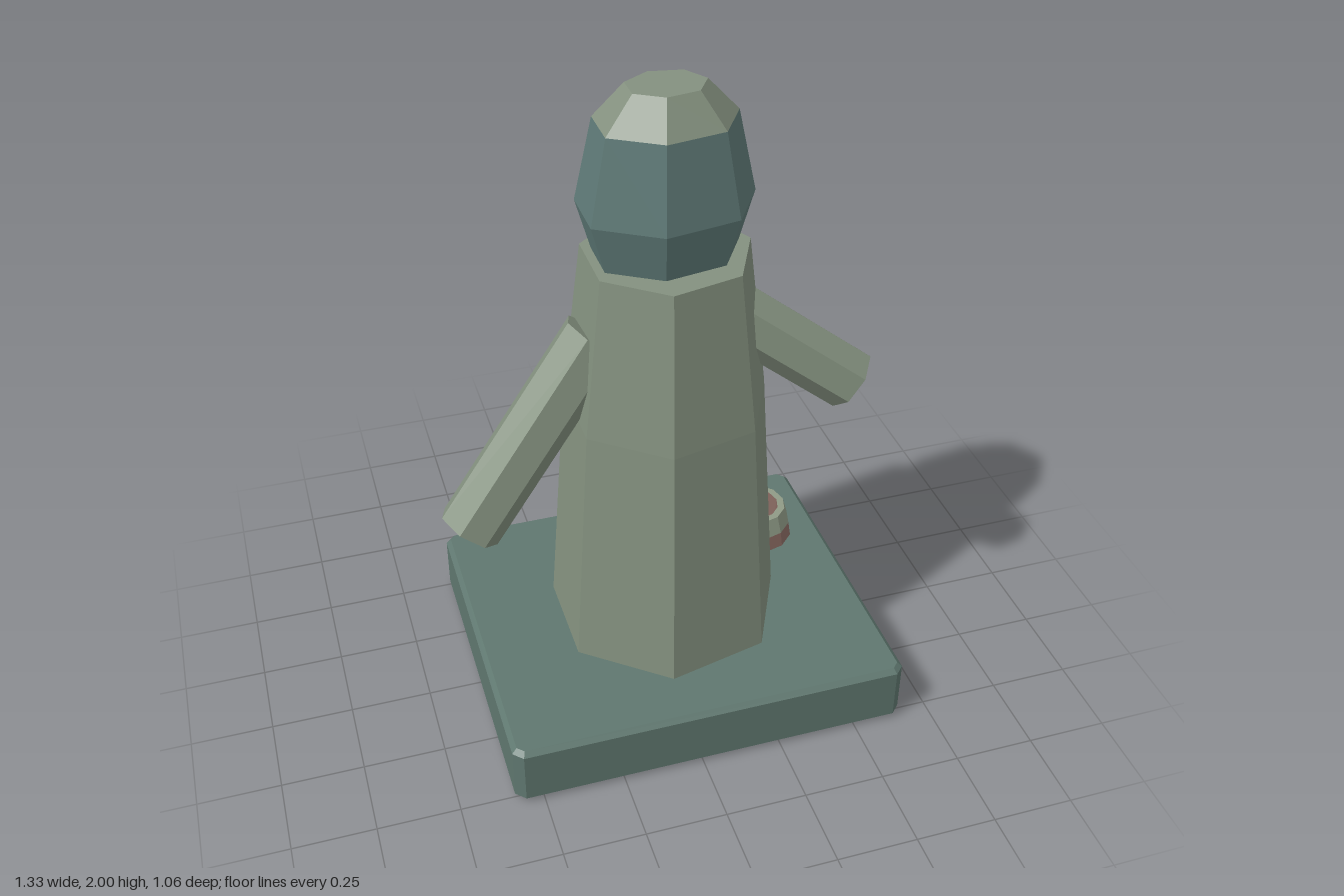
import * as THREE from 'three';

const material = (color) =>
  new THREE.MeshStandardMaterial({ color, flatShading: true, side: THREE.DoubleSide });
const stone = material(0x84917f);
const slate = material(0x5f776f);
const hoodTeal = material(0x5f7a77);
const clay = material(0x8a6a62);
const sand = material(0x8f9a86);

// Faceted turned part from [radius, height] pairs, with one corner towards +x
function turned(name, profile, sides, mat) {
  const points = profile.map(([r, y]) => new THREE.Vector2(r, y));
  const mesh = new THREE.Mesh(new THREE.LatheGeometry(points, sides, Math.PI / 2), mat);
  mesh.name = name;
  return mesh;
}

// Straight seven-sided limb between two points
function limb(name, from, to, radius) {
  const a = new THREE.Vector3(...from);
  const b = new THREE.Vector3(...to);
  const dir = b.clone().sub(a);
  const mesh = new THREE.Mesh(
    new THREE.CylinderGeometry(radius, radius, dir.length(), 7), stone);
  mesh.quaternion.setFromUnitVectors(new THREE.Vector3(0, 1, 0), dir.normalize());
  mesh.position.copy(a).add(b).multiplyScalar(0.5);
  mesh.name = name;
  return mesh;
}

// Slab with clipped corners and bevelled edges
function makeBase() {
  const bevel = 0.015, w = 0.622 - bevel, d = 0.53 - bevel, c = 0.02, height = 0.2;
  const shape = new THREE.Shape([
    [w - c, -d], [w, c - d], [w, d - c], [w - c, d],
    [c - w, d], [-w, d - c], [-w, c - d], [c - w, -d],
  ].map(([x, y]) => new THREE.Vector2(x, y)));
  const geometry = new THREE.ExtrudeGeometry(shape, {
    depth: height - 2 * bevel, bevelEnabled: true, bevelSegments: 1,
    bevelSize: bevel, bevelThickness: bevel,
  });
  geometry.rotateX(-Math.PI / 2).translate(0.037, bevel, 0);
  const mesh = new THREE.Mesh(geometry, slate);
  mesh.name = 'base';
  return mesh;
}

export function createModel() {
  const model = new THREE.Group();
  model.name = 'robedFigure';
  model.add(makeBase());

  // Robe: seven-sided, tapering in two steps
  const robe = turned('robe',
    [[0, 0.19], [0.37, 0.19], [0.37, 0.2], [0.312, 1.0], [0.25, 1.5], [0, 1.5]], 7, stone);
  robe.position.x = 0.04;
  model.add(robe);

  // Head: oval hood with a lighter crown
  const head = new THREE.Group();
  head.name = 'head';
  head.add(
    turned('hood', [[0, 1.49], [0.218, 1.5], [0.263, 1.65], [0.208, 1.9]], 7, hoodTeal),
    turned('crown', [[0.208, 1.9], [0.116, 2.0], [0, 2.0]], 7, stone));
  head.scale.z = 0.78;
  head.position.set(0.037, 0, -0.004);
  model.add(head);

  // Arms: the left one is shorter and raised
  model.add(
    limb('leftArm', [0.255, 1.253, -0.02], [0.6, 1.005, 0.075], 0.098),
    limb('rightArm', [-0.173, 1.255, -0.005], [-0.588, 0.695, 0.06], 0.098));

  // Open pot on the rear corner of the base
  const pot = new THREE.Group();
  pot.name = 'pot';
  pot.add(
    turned('potFoot', [[0.13, 0.19], [0.13, 0.2], [0.122, 0.25]], 12, clay),
    turned('potRim', [[0.122, 0.25], [0.105, 0.31], [0.082, 0.31]], 12, sand),
    turned('potInside', [[0.082, 0.31], [0.078, 0.19]], 12, clay));
  pot.position.set(0.437, 0, -0.25);
  model.add(pot);

  return model;
}
